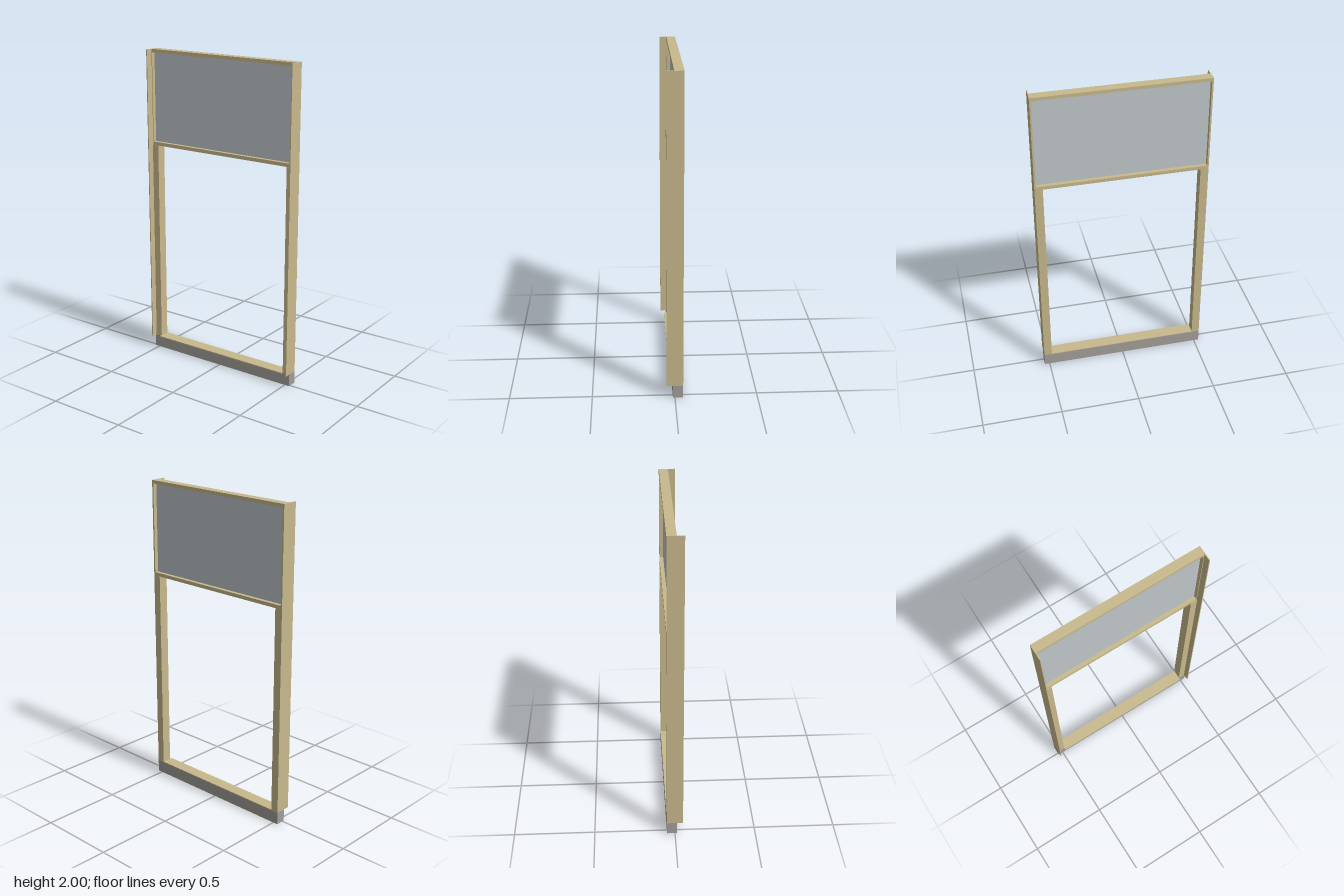
import * as THREE from 'three';

export function createModel() {
  const root = new THREE.Group();
  root.name = 'windowFrame';

  const wood = new THREE.MeshStandardMaterial({ color: 0xc8b98c });
  wood.name = 'tan frame';
  const glass = new THREE.MeshStandardMaterial({ color: 0xc0c6c9 });
  glass.name = 'pale glass';
  const stone = new THREE.MeshStandardMaterial({ color: 0xa29e99 });
  stone.name = 'grey base';

  // Box given by its extents along each axis
  function block(name, material, [x0, x1], [y0, y1], [z0, z1]) {
    const mesh = new THREE.Mesh(new THREE.BoxGeometry(x1 - x0, y1 - y0, z1 - z0), material);
    mesh.position.set((x0 + x1) / 2, (y0 + y1) / 2, (z0 + z1) / 2);
    mesh.name = name;
    root.add(mesh);
  }

  const back = -0.05;

  // Grey base and the thin sill plate that overhangs it at the front
  block('base', stone, [-0.532, 0.532], [0, 0.079], [back, 0.012]);
  block('sill', wood, [-0.482, 0.482], [0.076, 0.083], [back, 0.027]);

  // Jambs beside the opening, slim stiles beside the pane, projecting side fins
  for (const [side, s] of [['left', 1], ['right', -1]]) {
    const span = (a, b) => (s > 0 ? [a, b] : [-b, -a]);
    block(side + 'Jamb', wood, span(0.482, 0.526), [0.079, 1.39], [back, 0.01]);
    block(side + 'Stile', wood, span(0.522, 0.526), [1.39, 2], [back, 0.006]);
    block(side + 'Fin', wood, span(0.526, 0.532), [0.079, 2], [back, 0.05]);
  }

  // Rails above and below the pane
  block('transom', wood, [-0.526, 0.526], [1.39, 1.412], [back, 0.006]);
  block('topRail', wood, [-0.526, 0.526], [1.979, 2], [back, 0.006]);

  // Fixed pane, recessed from both faces
  block('pane', glass, [-0.522, 0.522], [1.412, 1.979], [-0.025, -0.018]);

  return root;
}
